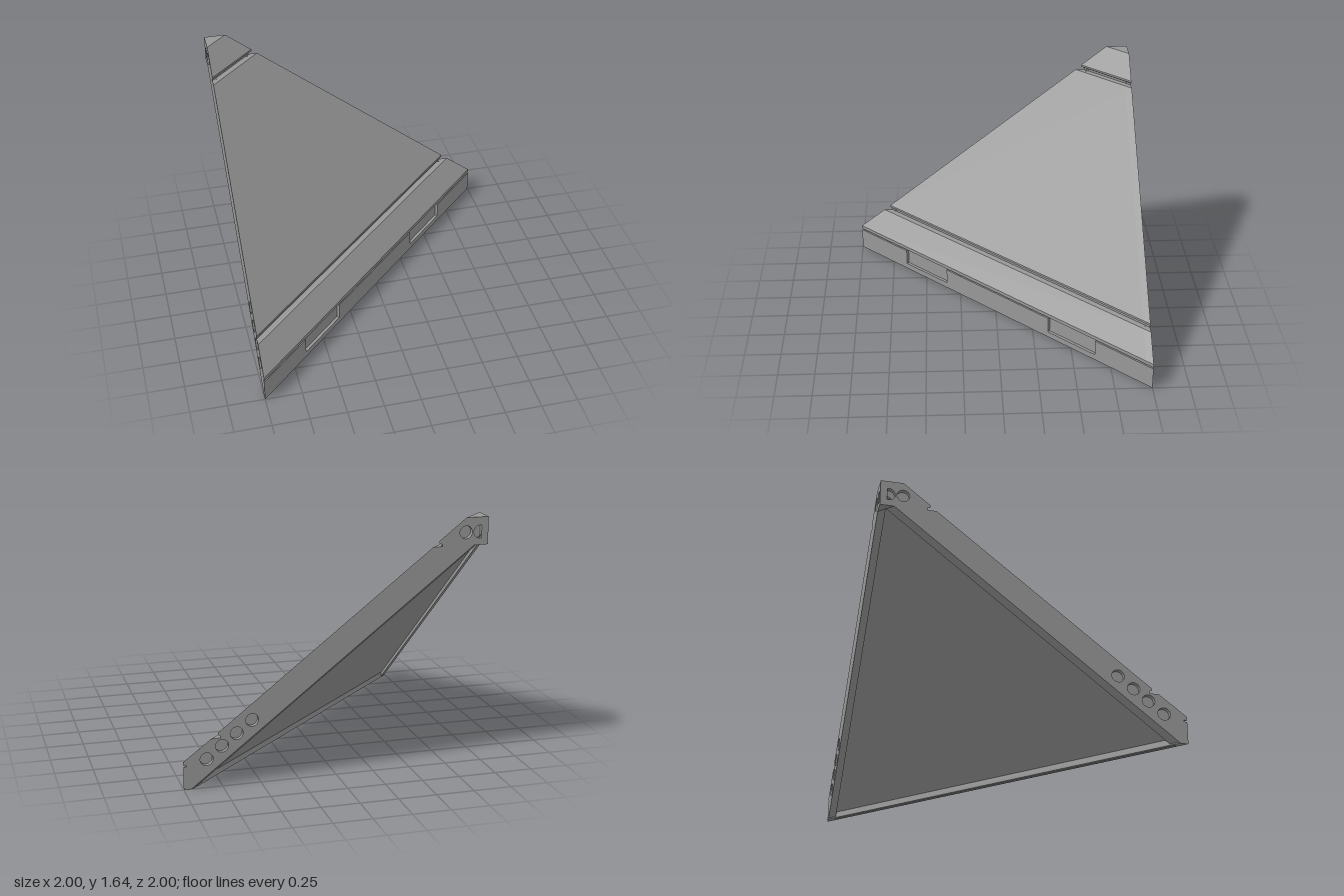
import * as THREE from 'three';

const SLOPE = 0.786; // rise per unit of d, where d = -(x + z): 0 at the long edge, 2 at the corner
const HOLE_R = 0.042;
const HOLES = [0.15, 0.25, 0.345, 0.445].map(d => [d, 0.072 + SLOPE * d]).concat([[1.85, 1.545], [1.945, 1.545]]);

// Stepped outer slope as (d, y), from the lower eave to the flat tip
const SLOPE_PROFILE = [
  [0, 0.16], [0, 0.185], [0.18, 0.322], [0.24, 0.322], [0.24, 0.335], [0.225, 0.343], [0.225, 0.358],
  [1.63, 1.462], [1.69, 1.462], [1.69, 1.476], [1.67, 1.485], [1.67, 1.498], [1.85, 1.64], [2, 1.64],
];

export function createModel() {
  const grey = new THREE.MeshStandardMaterial({ color: 0x989898, side: THREE.DoubleSide, flatShading: true });
  grey.name = 'stone grey';
  const root = new THREE.Group();
  root.name = 'cornerRoofTile';

  const add = (parent, geometry, name) => {
    const mesh = new THREE.Mesh(geometry, grey);
    mesh.name = name;
    parent.add(mesh);
  };

  // Sweep a (d, y) profile between the two walls x = -1 and z = -1
  const sweep = (profile) => {
    const pos = [], index = [];
    profile.forEach(([d, y], i) => {
      pos.push(-1, y, 1 - d, 1 - d, y, -1);
      if (i) {
        const a = 2 * i - 2;
        index.push(a, a + 1, a + 3, a, a + 3, a + 2);
      }
    });
    const g = new THREE.BufferGeometry();
    g.setAttribute('position', new THREE.Float32BufferAttribute(pos, 3));
    g.setIndex(index);
    g.computeVertexNormals();
    return g;
  };

  // Keep a geometry inside the two walls
  const clampToWalls = (g) => {
    const p = g.attributes.position;
    for (let i = 0; i < p.count; i++) {
      p.setX(i, Math.max(-1, p.getX(i)));
      p.setZ(i, Math.max(-1, p.getZ(i)));
    }
    g.computeVertexNormals();
    return g;
  };

  // Outer slope with its two grooves, and the recessed wall behind the base
  add(root, sweep([[0.03, 0], [0.03, 0.16], ...SLOPE_PROFILE]), 'roofSlope');

  // Underside with the lip along the long edge
  add(root, sweep([[0.03, 0], [0.06, 0], [0.06, 0.04], [2, 0.04 + SLOPE * 1.94]]), 'underside');

  // Base face along the long edge, with two notches open to the groove above
  const R2 = Math.SQRT2;
  const face = new THREE.Shape([
    [-1, 0], [1, 0], [1, 0.15], [0.65, 0.15], [0.65, 0.04], [0.35, 0.04], [0.35, 0.15],
    [-0.35, 0.15], [-0.35, 0.04], [-0.65, 0.04], [-0.65, 0.15], [-1, 0.15],
  ].map(([x, y]) => new THREE.Vector2(x * R2, y)));
  const base = new THREE.ExtrudeGeometry(face, { depth: 0.021, bevelEnabled: false });
  base.translate(0, 0, -0.021).rotateY(Math.PI / 4);
  add(root, clampToWalls(base), 'baseFace');

  // One layer of a side wall, sheared so that its edges follow the slope
  const wallLayer = (start, depth, withHoles) => {
    const outline = [
      [0, 0], [0, 0.15], [0.02, 0.15], [0.02, 0.16], ...SLOPE_PROFILE,
      [2, 1.46], [0.05 + 1.46 / SLOPE, 1.46], [0.05, 0],
    ];
    const shape = new THREE.Shape(outline.map(([d, y]) => new THREE.Vector2(1 - d, y)));
    if (withHoles) {
      for (const [d, y] of HOLES) {
        shape.holes.push(new THREE.Path().absarc(1 - d, y, HOLE_R, 0, Math.PI * 2, true));
      }
    }
    const g = new THREE.ExtrudeGeometry(shape, { depth, bevelEnabled: false, curveSegments: 20 });
    g.translate(0, 0, start - 1);
    const p = g.attributes.position;
    for (let i = 0; i < p.count; i++) {
      const x = p.getX(i), y = p.getY(i);
      // Hole walls stay straight
      const onHole = withHoles && HOLES.some(([d, hy]) => Math.hypot(x - 1 + d, y - hy) < HOLE_R + 0.001);
      if (!onHole) p.setX(i, x - (p.getZ(i) + 1));
    }
    return clampToWalls(g);
  };

  // Side walls with peg holes, mirrored across the diagonal
  const outer = wallLayer(0, 0.03, true);
  const inner = wallLayer(0.03, 0.015, false);
  for (const mirrored of [false, true]) {
    const wall = new THREE.Group();
    wall.name = mirrored ? 'rightWall' : 'backWall';
    if (mirrored) {
      wall.rotation.y = Math.PI / 2;
      wall.scale.x = -1;
    }
    add(wall, outer, 'holedPanel');
    add(wall, inner, 'innerPanel');
    root.add(wall);
  }
  return root;
}
